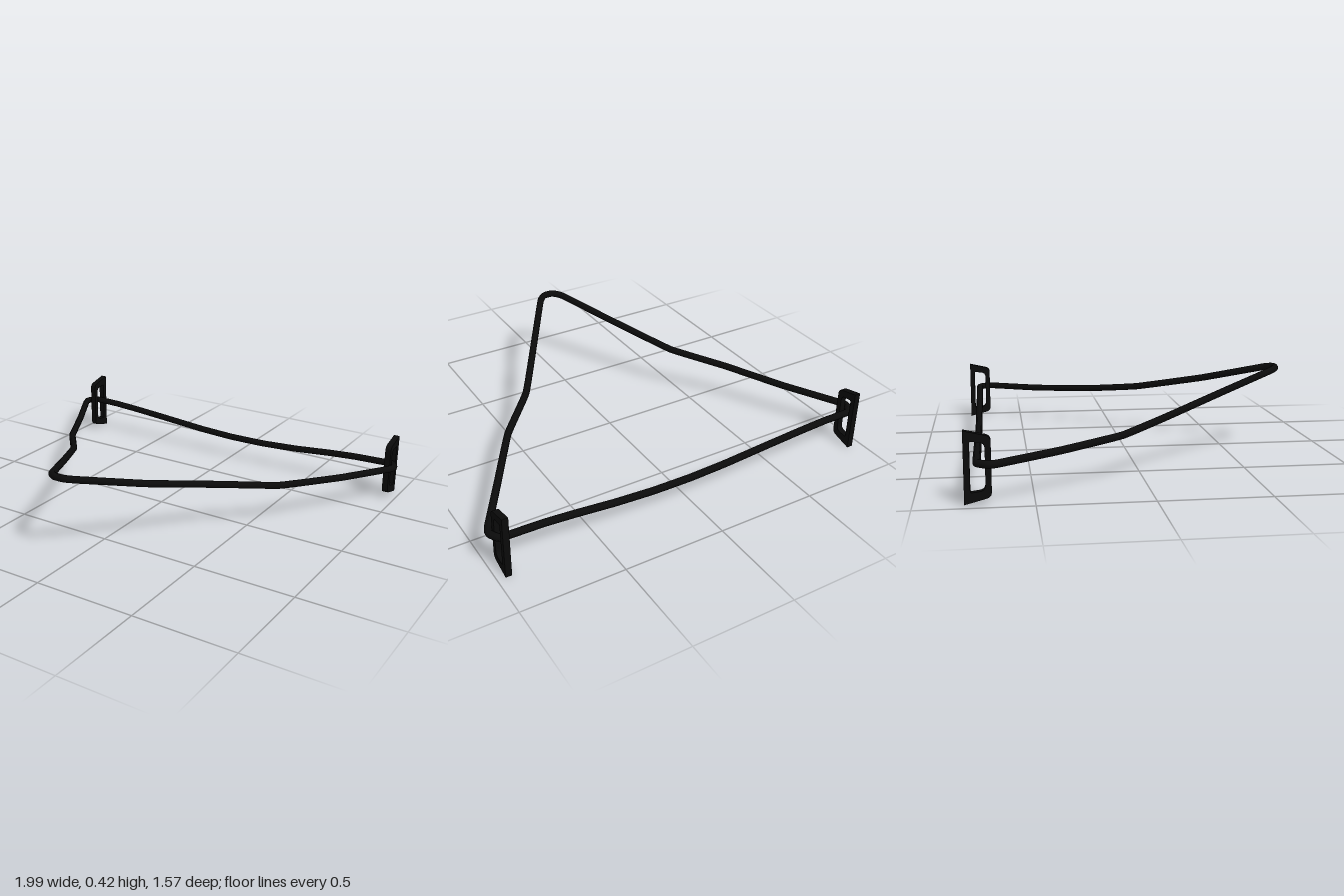
import * as THREE from 'three';

const black = new THREE.MeshStandardMaterial({ name: 'black', color: 0x0b0b0b });

// Shape from points with corners rounded by radius r
function roundedPath(Type, pts) {
  const path = new Type();
  const n = pts.length;
  pts.forEach(([x, y, r], i) => {
    const p = new THREE.Vector2(x, y);
    const toward = (q) => new THREE.Vector2(q[0], q[1]).sub(p).setLength(r).add(p);
    const a = toward(pts[(i + n - 1) % n]);
    const b = toward(pts[(i + 1) % n]);
    if (i === 0) path.moveTo(a.x, a.y);
    else path.lineTo(a.x, a.y);
    if (r > 0) path.quadraticCurveTo(x, y, b.x, b.y);
  });
  path.closePath();
  return path;
}

// Upright end bracket with an open slot; shape x runs toward the back
function bracket(name, x) {
  const depth = 0.03;
  const shape = roundedPath(THREE.Shape, [
    [0.79, 0, 0], [0.79, 0.31, 0], [0.677, 0.284, 0.022], [0.677, 0.03, 0.022],
  ]);
  shape.holes.push(roundedPath(THREE.Path, [
    [0.764, 0.05, 0.008], [0.702, 0.058, 0.025], [0.702, 0.258, 0.025], [0.764, 0.264, 0.008],
  ]));
  const geo = new THREE.ExtrudeGeometry(shape, { depth, bevelEnabled: false, curveSegments: 6 });
  geo.translate(0, 0, -depth / 2).rotateY(Math.PI / 2);
  const mesh = new THREE.Mesh(geo, black);
  mesh.name = name;
  mesh.position.x = x;
  return mesh;
}

export function createModel() {
  const group = new THREE.Group();
  group.name = 'wireLoopWithBrackets';

  // Closed cable: sagging back span, then out to the raised front tip
  const points = [
    // back span
    [-0.94, 0.173, -0.735], [-0.8, 0.172, -0.735], [-0.65, 0.164, -0.735],
    [-0.45, 0.15, -0.735], [-0.2, 0.131, -0.735], [0, 0.123, -0.735],
    [0.2, 0.125, -0.735], [0.4, 0.137, -0.735], [0.6, 0.156, -0.735],
    [0.75, 0.167, -0.735], [0.95, 0.173, -0.735],
    // left side
    [0.981, 0.174, -0.69], [0.968, 0.175, -0.65], [0.81, 0.182, -0.4],
    [0.617, 0.205, -0.1], [0.41, 0.245, 0.127], [0.205, 0.318, 0.445],
    // front tip
    [0.02, 0.398, 0.73], [-0.02, 0.407, 0.766], [-0.07, 0.407, 0.766], [-0.114, 0.398, 0.73],
    // right side
    [-0.27, 0.327, 0.455], [-0.457, 0.245, 0.137], [-0.647, 0.205, -0.097],
    [-0.81, 0.184, -0.38], [-0.969, 0.175, -0.65], [-0.981, 0.174, -0.69],
  ].map((p) => new THREE.Vector3(...p));
  const curve = new THREE.CatmullRomCurve3(points, true, 'catmullrom', 0.15);
  curve.arcLengthDivisions = 1200;
  const cable = new THREE.Mesh(new THREE.TubeGeometry(curve, 400, 0.0175, 10, true), black);
  cable.name = 'cableLoop';
  group.add(cable);

  group.add(bracket('rightBracket', -0.936), bracket('leftBracket', 0.947));
  return group;
}
